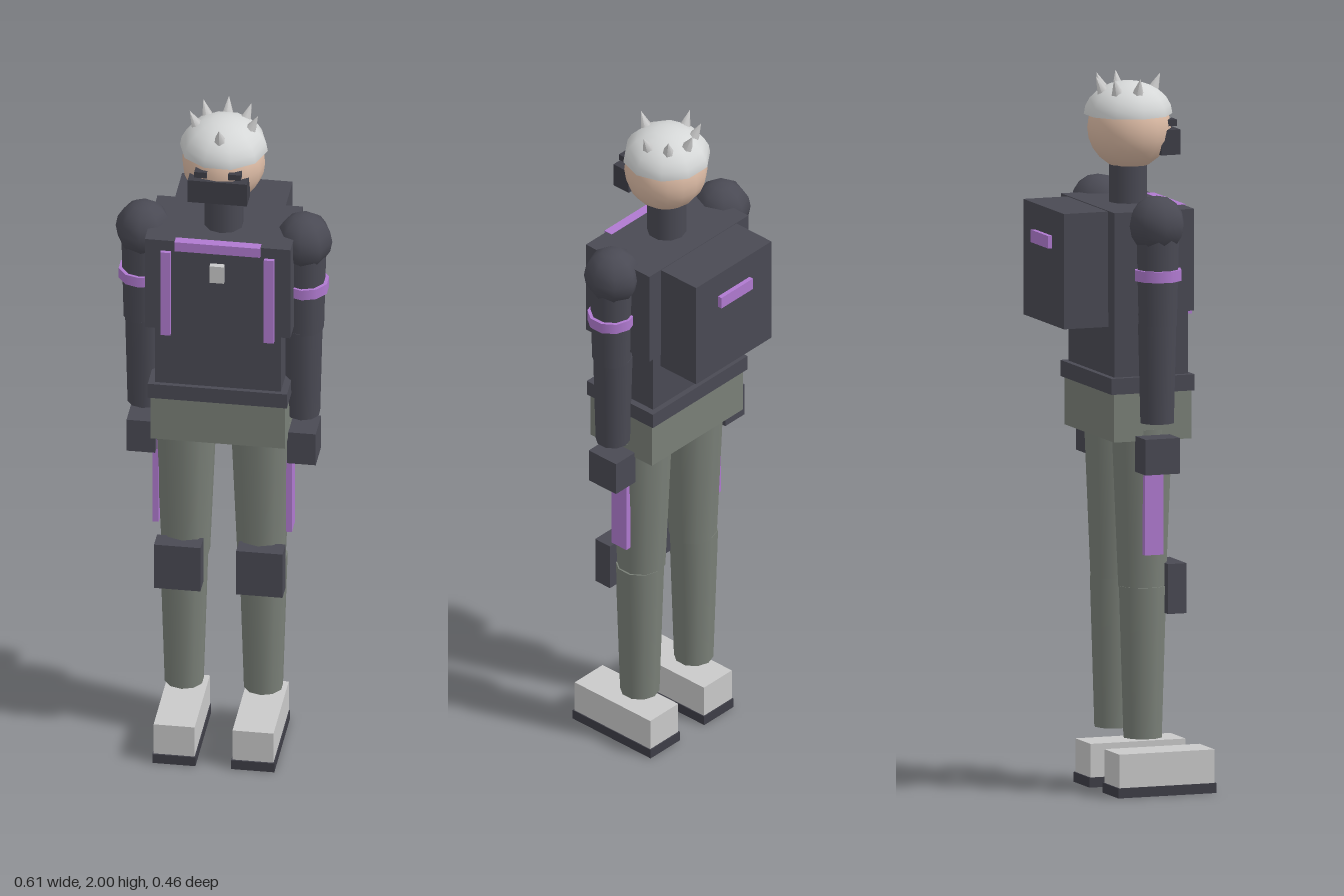
import * as THREE from 'three';

const mat = (name, color, side = THREE.FrontSide) => {
  const m = new THREE.MeshStandardMaterial({ color, side });
  m.name = name;
  return m;
};

export function createModel() {
  const root = new THREE.Group();
  root.name = 'armouredFigure';
  const dark = mat('charcoal', 0x4a4a54);
  const black = mat('darkRubber', 0x3e3e47);
  const cloth = mat('greyGreenCloth', 0x7a8078);
  const purple = mat('purpleTrim', 0xb07ad0);
  const light = mat('lightGrey', 0xc9c9c9);
  const skin = mat('skin', 0xdcbba5);
  const shell = mat('helmetWhite', 0xd6d8d8);
  shell.side = THREE.DoubleSide;
  const CZ = 0.033; // body centre line

  const add = (name, geo, m, x = 0, y = 0, z = 0) => {
    const mesh = new THREE.Mesh(geo, m);
    mesh.name = name;
    mesh.position.set(x, y, z);
    root.add(mesh);
    return mesh;
  };
  // box from its limits
  const box = (name, m, x0, x1, y0, y1, z0, z1) =>
    add(name, new THREE.BoxGeometry(Math.abs(x1 - x0), y1 - y0, z1 - z0), m,
      (x0 + x1) / 2, (y0 + y1) / 2, (z0 + z1) / 2);
  // upright tapered limb
  const limb = (name, m, x, y0, y1, rBottom, rTop, n = 10) =>
    add(name, new THREE.CylinderGeometry(rTop, rBottom, y1 - y0, n), m, x, (y0 + y1) / 2, CZ);

  // torso
  box('hips', cloth, -0.188, 0.188, 1.0, 1.138, -0.082, 0.148);
  box('lowerTorso', dark, -0.176, 0.176, 1.1, 1.4, -0.076, 0.142);
  box('belt', dark, -0.195, 0.195, 1.135, 1.18, -0.092, 0.155);
  box('vest', dark, -0.204, 0.204, 1.36, 1.645, -0.087, 0.15);
  box('collarTrim', purple, -0.12, 0.12, 1.617, 1.646, 0.13, 0.157);
  box('buckle', light, -0.02, 0.02, 1.53, 1.583, 0.148, 0.167);

  // backpack
  box('backpack', dark, -0.155, 0.155, 1.32, 1.643, -0.218, -0.085);
  box('backpackTrim', purple, -0.065, 0.065, 1.535, 1.57, -0.231, -0.216);

  // neck and head
  limb('neck', dark, 0, 1.62, 1.77, 0.055, 0.055);
  add('head', new THREE.SphereGeometry(0.116, 16, 12), skin, 0, 1.851, 0.036);
  box('mask', black, -0.083, 0.083, 1.78, 1.85, 0.1, 0.157);

  // helmet dome with ring of spikes
  const dome = new THREE.SphereGeometry(0.123, 10, 6, 0, Math.PI * 2, 0, Math.PI / 2);
  add('helmet', dome, shell, 0, 1.89, CZ).scale.y = 0.75;
  const up = new THREE.Vector3(0, 1, 0);
  for (const deg of [0, 90, 135, 180, 225, 270]) {
    const a = THREE.MathUtils.degToRad(deg);
    const s = Math.sin(a), c = Math.cos(a);
    const spike = add('helmetSpike', new THREE.ConeGeometry(0.021, 0.061, 6), light,
      s * 0.083, 1.9725, CZ + c * 0.083);
    spike.quaternion.setFromUnitVectors(up, new THREE.Vector3(s * 0.42, 0.91, c * 0.42).normalize());
  }

  // paired parts
  for (const s of [1, -1]) {
    const side = s > 0 ? 'left' : 'right';
    const pair = (name, m, x0, x1, ...rest) => box(side + name, m, s * x0, s * x1, ...rest);
    pair('Eye', black, 0.03, 0.065, 1.858, 1.876, 0.12, 0.153);
    pair('VestStrap', purple, 0.131, 0.159, 1.345, 1.612, 0.145, 0.161);

    // arm
    const shoulder = add(side + 'Shoulder', new THREE.SphereGeometry(0.081, 8, 8), dark, s * 0.225, 1.61, 0.031);
    shoulder.scale.x = 0.97;
    limb(side + 'UpperArm', dark, s * 0.226, 1.33, 1.61, 0.055, 0.062);
    limb(side + 'Forearm', dark, s * 0.222, 1.055, 1.335, 0.048, 0.055);
    limb(side + 'ArmBand', purple, s * 0.228, 1.455, 1.486, 0.067, 0.067);
    pair('Hand', dark, 0.185, 0.265, 0.915, 1.015, -0.018, 0.084);

    // leg
    limb(side + 'Thigh', cloth, s * 0.106, 0.58, 1.03, 0.068, 0.087);
    limb(side + 'Shin', cloth, s * 0.111, 0.16, 0.585, 0.055, 0.068);
    pair('ThighStripe', purple, 0.178, 0.195, 0.68, 0.96, 0.007, 0.063);
    pair('KneePad', dark, 0.05, 0.18, 0.51, 0.65, 0.082, 0.137);
    pair('Boot', light, 0.053, 0.168, 0.028, 0.122, -0.058, 0.225);
    pair('Sole', black, 0.05, 0.171, 0, 0.028, -0.062, 0.23);
  }
  return root;
}
